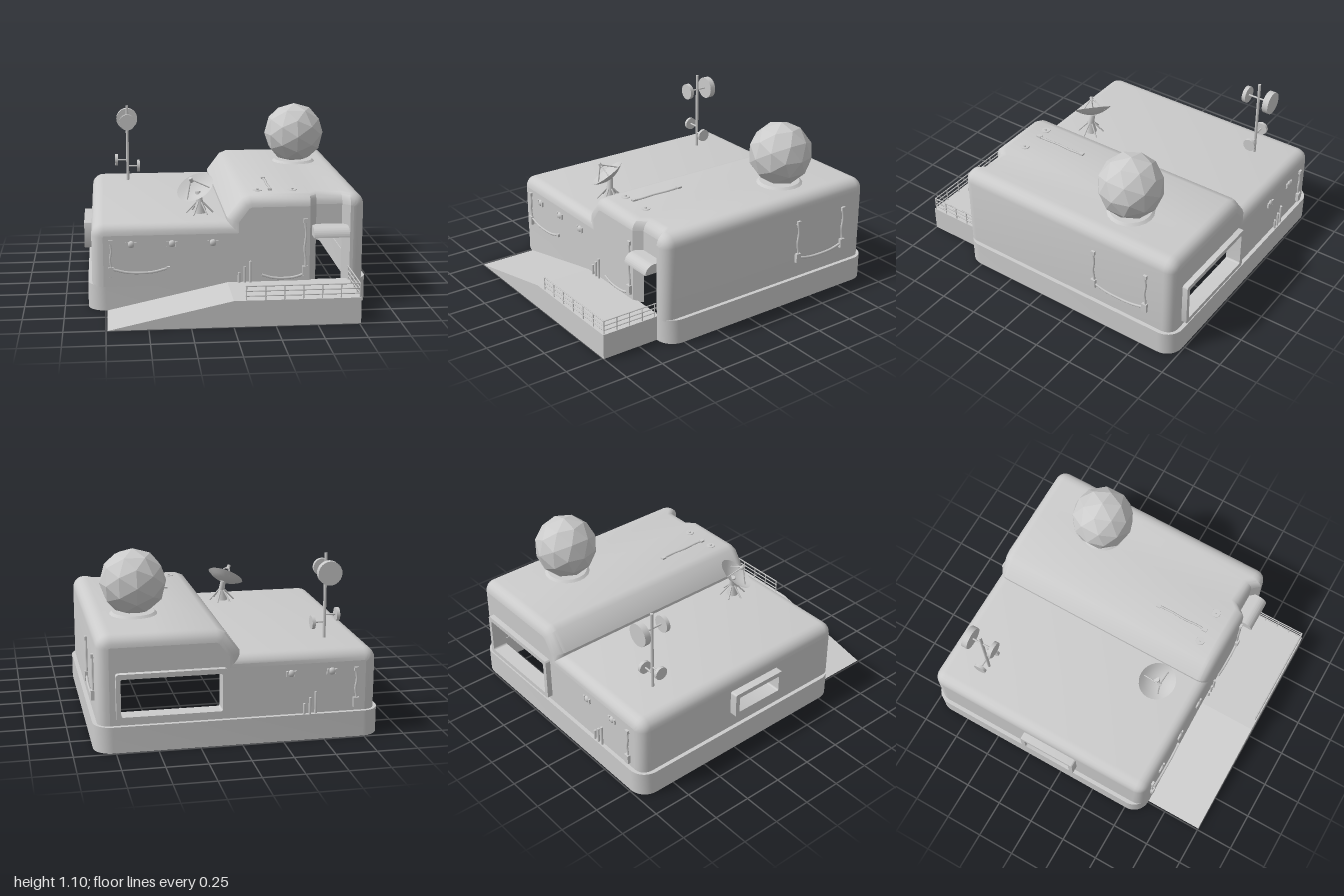
import * as THREE from 'three';
import { toCreasedNormals } from 'three/addons/utils/BufferGeometryUtils.js';

const grey = new THREE.MeshStandardMaterial({ color: 0xcccccc, side: THREE.DoubleSide });
const faceted = new THREE.MeshStandardMaterial({ color: 0xcccccc, flatShading: true });
const V = (x, y, z) => new THREE.Vector3(x, y, z);
const UP = V(0, 1, 0);

function add(parent, name, geo, x = 0, y = 0, z = 0, mat = grey) {
  const m = new THREE.Mesh(geo, mat);
  m.name = name;
  m.position.set(x, y, z);
  parent.add(m);
  return m;
}
function group(parent, name) {
  const g = new THREE.Group();
  g.name = name;
  parent.add(g);
  return g;
}
const box = (p, name, w, h, d, x, y, z) => add(p, name, new THREE.BoxGeometry(w, h, d), x, y, z);
// Round bar between two points
function rod(p, name, a, b, r, r2 = r, sides = 8) {
  const d = b.clone().sub(a);
  const m = add(p, name, new THREE.CylinderGeometry(r2, r, d.length(), sides));
  m.position.copy(a).addScaledVector(d, 0.5);
  m.quaternion.setFromUnitVectors(UP, d.normalize());
  return m;
}
const tube = (p, name, pts, r = 0.007) =>
  add(p, name, new THREE.TubeGeometry(new THREE.CatmullRomCurve3(pts), 24, r, 6));
// Flat panel from corners in order
function panel(p, name, ...c) {
  const g = new THREE.BufferGeometry().setFromPoints(c);
  g.setIndex(c.length === 4 ? [0, 1, 2, 0, 2, 3] : [0, 1, 2]);
  g.computeVertexNormals();
  return add(p, name, g);
}
function roundRect(x0, y0, x1, y1, r, Type = THREE.Shape) {
  const s = new Type();
  s.absarc(x1 - r, y1 - r, r, 0, Math.PI / 2);
  s.absarc(x0 + r, y1 - r, r, Math.PI / 2, Math.PI);
  s.absarc(x0 + r, y0 + r, r, Math.PI, Math.PI * 1.5);
  s.absarc(x1 - r, y0 + r, r, Math.PI * 1.5, Math.PI * 2);
  s.closePath();
  return s;
}
function ringGeo(outer, hole, depth) {
  outer.holes.push(hole);
  return toCreasedNormals(
    new THREE.ExtrudeGeometry(outer, { depth, bevelEnabled: false, curveSegments: 6 }), 0.6);
}

// Building shell dimensions
const R = 0.07, ZF = 0.62, ZB = -0.965, FLOOR = 0.15, RECESS = 0.05;
const DOOR = [0.51, 0.555, 0.716, 0.76];

// Stepped roof profile, inset by d
function profile(d) {
  const P = [[-0.83, FLOOR]], rc = R + 0.005;
  const corner = (cx, cy, from) => {
    for (let i = 0; i <= 5; i++) {
      const a = from - (i / 5) * Math.PI / 2;
      P.push([cx + rc * Math.cos(a), cy + rc * Math.sin(a)]);
    }
  };
  corner(-0.83 + rc, 0.54 - rc, Math.PI);
  P.push([0, 0.54], [0, 0.56], [0.09, 0.68], [0.14, 0.7]);
  DOOR.forEach(x => P.push([x, 0.7]));
  corner(0.85 - rc, 0.7 - rc, Math.PI / 2);
  P.push([0.85, FLOOR]);
  const normal = i => {
    const a = P[i], b = P[i + 1], l = Math.hypot(b[0] - a[0], b[1] - a[1]);
    return [-(b[1] - a[1]) / l, (b[0] - a[0]) / l];
  };
  return P.map((p, i) => {
    const m = normal(Math.max(i - 1, 0)), n = normal(Math.min(i, P.length - 2));
    const k = d / (1 + m[0] * n[0] + m[1] * n[1]);
    return new THREE.Vector2(p[0] - (m[0] + n[0]) * k, p[1] - (m[1] + n[1]) * k);
  });
}

function buildShell(root) {
  const g = group(root, 'building');
  // Roof and side walls: profile swept front to back with rounded ends
  const rings = [], N = 5;
  for (let i = N; i >= 0; i--) rings.push([ZB + R, -1, i]);
  for (let i = 0; i <= N; i++) rings.push([ZF - R, 1, i]);
  const pos = [], idx = [];
  let n = 0;
  rings.forEach(([z, s, i], k) => {
    const a = (i / N) * Math.PI / 2;
    const pts = profile(R * (1 - Math.cos(a)));
    n = pts.length;
    pts.forEach((p, j) => {
      const inDoor = s > 0 && p.x > 0.52 && p.x < 0.75 && p.y > 0.6;
      pos.push(p.x, p.y, z + s * R * Math.sin(a) - (inDoor ? RECESS : 0));
      if (!k || !j) return;
      if (k === N + 1 && j === 1) return; // left wall has its own panel
      const c = k * n + j, b = c - n;
      idx.push(b - 1, c - 1, c, b - 1, c, b);
    });
  });
  const geo = new THREE.BufferGeometry();
  geo.setAttribute('position', new THREE.Float32BufferAttribute(pos, 3));
  geo.setIndex(idx);
  add(g, 'roofAndSides', toCreasedNormals(geo, 0.6));

  // Left-hand wall with window opening
  const side = new THREE.Shape([[ZB + R, FLOOR], [ZF - R, FLOOR], [ZF - R, 0.465], [ZB + R, 0.465]]
    .map(p => new THREE.Vector2(...p)));
  side.holes.push(roundRect(-0.25, 0.285, 0.1, 0.415, 0.01, THREE.Path));
  add(g, 'sideWall', new THREE.ShapeGeometry(side).rotateY(-Math.PI / 2), -0.83);

  // Back wall with large window opening
  const cap = profile(R);
  const back = new THREE.Shape(cap);
  back.holes.push(roundRect(0.11, 0.21, 0.725, 0.46, 0.01, THREE.Path));
  add(g, 'backWall', new THREE.ShapeGeometry(back), 0, 0, ZB);

  // Front wall on both sides of a recessed doorway
  const left = cap.filter(p => p.x < DOOR[0] + 0.001).concat(new THREE.Vector2(DOOR[0], FLOOR));
  const right = cap.filter(p => p.x > DOOR[3] - 0.001).concat(new THREE.Vector2(DOOR[3], FLOOR));
  [left, right].forEach(p => add(g, 'frontWall', new THREE.ShapeGeometry(new THREE.Shape(p)), 0, 0, ZF));
  const top = 0.7 - R, zi = ZF - RECESS;
  [[0, 1], [3, 2]].forEach(([a, b]) => panel(g, 'doorJamb',
    V(DOOR[a], FLOOR, ZF), V(DOOR[b], FLOOR, zi), V(DOOR[b], top, zi), V(DOOR[a], top, ZF)));
  panel(g, 'doorHeader', V(DOOR[1], 0.43, zi), V(DOOR[2], 0.43, zi), V(DOOR[2], top, zi), V(DOOR[1], top, zi));

  // Curved canopy over the door
  const c = new THREE.Shape();
  c.moveTo(0, 0);
  c.lineTo(0.12, 0);
  c.absellipse(0.06, 0, 0.06, 0.06, 0, Math.PI / 2);
  c.lineTo(0, 0.06);
  add(g, 'doorCanopy', toCreasedNormals(new THREE.ExtrudeGeometry(c,
    { depth: 0.22, bevelEnabled: false }), 0.6).rotateY(-Math.PI / 2), 0.745, 0.445, 0.57);

  // Window frames
  add(g, 'backWindowFrame', ringGeo(roundRect(0.09, 0.19, 0.745, 0.48, 0.015),
    roundRect(0.12, 0.22, 0.718, 0.45, 0.01, THREE.Path), 0.1), 0, 0, -1);
  add(g, 'sideWindowFrame', ringGeo(roundRect(-0.27, 0.265, 0.12, 0.435, 0.012),
    roundRect(-0.24, 0.295, 0.09, 0.405, 0.01, THREE.Path), 0.13).rotateY(-Math.PI / 2), -0.75);

  // Foundation band
  add(g, 'foundation', ringGeo(roundRect(-0.855, -0.62, 0.875, 0.99, 0.11),
    roundRect(-0.825, -0.6, 0.845, 0.96, 0.08, THREE.Path), 0.16).rotateX(-Math.PI / 2));
}

function buildDeck(root) {
  const g = group(root, 'entranceDeck');
  const x0 = -0.74, x1 = 0.76, z0 = 0.6, z1 = 1, h = 0.16;
  panel(g, 'deckTop', V(0, h, z0), V(0, h, z1), V(x1, h, z1), V(x1, h, z0));
  panel(g, 'ramp', V(x0, 0, z0), V(x0, 0, z1), V(0, h, z1), V(0, h, z0));
  panel(g, 'deckFront', V(0, 0, z1), V(x1, 0, z1), V(x1, h, z1), V(0, h, z1));
  panel(g, 'rampFront', V(x0, 0, z1), V(0, 0, z1), V(0, h, z1));
  panel(g, 'deckEnd', V(x1, 0, z1), V(x1, 0, z0), V(x1, h, z0), V(x1, h, z1));
  // Railing along front and end
  const xr = 0.752, zr = 0.99;
  for (let i = 0; i < 7; i++) {
    const x = 0.075 + i * (xr - 0.075) / 6;
    rod(g, 'railPost', V(x, h, zr), V(x, 0.245, zr), 0.004, 0.004, 6);
  }
  for (let i = 0; i < 4; i++) rod(g, 'railPost', V(xr, h, 0.63 + i * 0.09), V(xr, 0.245, 0.63 + i * 0.09), 0.004, 0.004, 6);
  for (const y of [0.185, 0.215, 0.245]) {
    rod(g, 'rail', V(0.07, y, zr), V(xr, y, zr), 0.004, 0.004, 6);
    rod(g, 'rail', V(xr, y, zr), V(xr, y, 0.62), 0.004, 0.004, 6);
  }
}

function buildRoofGear(root) {
  // Faceted dome
  const dome = group(root, 'radarDome');
  add(dome, 'domeShell', new THREE.IcosahedronGeometry(0.205, 1), 0.57, 0.898, -0.475, faceted);
  add(dome, 'domeBase', new THREE.CylinderGeometry(0.13, 0.15, 0.016, 20), 0.57, 0.706, -0.475);

  // Mast with four drum antennas
  const mast = group(root, 'antennaMast'), mx = -0.58, mz = -0.68;
  rod(mast, 'mastPole', V(mx, 0.53, mz), V(mx, 1.07, mz), 0.01);
  [[0, 0.965, -1, 0.065, 0.04, 0.074], [0, 0.965, 1, 0.07, 0.025, 0.055],
    [-1, 0.685, 0, 0.068, 0.02, 0.042], [1, 0.64, 0, 0.065, 0.02, 0.042]].forEach(([dx, y, dz, s, t, r]) => {
    const at = k => V(mx + dx * k, y, mz + dz * k);
    rod(mast, 'drumArm', at(0), at(s), 0.006);
    rod(mast, 'drumAntenna', at(s), at(s + t), r, r, 24);
  });

  // Satellite dish on a splayed stand
  const dish = group(root, 'satelliteDish'), cx = -0.15, cz = 0.35;
  for (let i = 0; i < 6; i++) {
    const a = i * Math.PI / 3, c = Math.cos(a), s = Math.sin(a);
    rod(dish, 'standLeg', V(cx + c * 0.085, 0.54, cz + s * 0.085), V(cx + c * 0.02, 0.61, cz + s * 0.02), 0.005);
  }
  rod(dish, 'standColumn', V(cx, 0.54, cz), V(cx, 0.62, cz), 0.04, 0.02);
  rod(dish, 'standNeck', V(cx, 0.61, cz), V(-0.16, 0.675, 0.34), 0.022, 0.018);
  const bowl = group(dish, 'bowl');
  bowl.position.set(-0.16, 0.67, 0.335);
  bowl.quaternion.setFromUnitVectors(UP, V(-0.4, 0.78, 0.42).normalize());
  const curve = [0, 0.03, 0.06, 0.09, 0.122].map(r => new THREE.Vector2(r, r * r * 3));
  add(bowl, 'reflector', new THREE.LatheGeometry(curve, 28));
  for (let i = 0; i < 3; i++) {
    const a = i * Math.PI * 2 / 3 + 0.4;
    rod(bowl, 'feedStrut', V(Math.cos(a) * 0.09, 0.024, Math.sin(a) * 0.09), V(0, 0.115, 0), 0.004);
  }
  rod(bowl, 'feedHorn', V(0, 0.095, 0), V(0, 0.125, 0), 0.012);

  // Roof vents and cable run
  for (const x of [0.2, 0.42]) {
    add(root, 'roofVent', new THREE.CylinderGeometry(0.028, 0.03, 0.006, 16), x, 0.701, 0.46);
    add(root, 'ventCap', new THREE.CylinderGeometry(0.008, 0.008, 0.016, 8), x, 0.704, 0.46);
  }
  tube(root, 'roofCable', [0.1, 0.2, 0.3, 0.4, 0.47].map((z, i) => V(0.28 + (i % 2) * 0.005, 0.703, z)));
  for (const z of [0.11, 0.45]) box(root, 'roofCableClip', 0.025, 0.014, 0.03, 0.28, 0.704, z);
}

function buildWallGear(root) {
  // Wall-mounted cable drop, drawn on a plane facing +z
  const drop = (p, x, y0, y1) => {
    tube(p, 'cableDrop', [0, 1, 2, 3, 4].map(i => V(x + (i % 2 ? 0.004 : -0.004), y0 + (y1 - y0) * i / 4, 0.006)));
    box(p, 'junctionBox', 0.035, 0.06, 0.025, x, y0 + 0.035, 0.008);
    box(p, 'cableClip', 0.026, 0.025, 0.018, x, y1, 0.006);
  };
  const swag = (p, x0, x1, y, sag) => tube(p, 'hangingCable',
    [V(x0, y, 0.008), V(x0 * 0.75 + x1 * 0.25, y - sag * 0.8, 0.01), V((x0 + x1) / 2, y - sag, 0.01),
      V(x0 * 0.25 + x1 * 0.75, y - sag * 0.8, 0.01), V(x1, y, 0.008)], 0.008);
  const lamp = (p, x) => {
    const m = add(p, 'wallLamp', new THREE.SphereGeometry(0.022, 12, 8), x, 0.415, 0.002);
    m.scale.z = 0.7;
    for (const s of [-1, 1]) box(p, 'lampBracket', 0.014, 0.034, 0.014, x + s * 0.026, 0.413, 0.004);
  };
  const pipes = (p, xs, y0) => xs.forEach((x, i) =>
    rod(p, 'wallPipe', V(x, y0, 0.012), V(x, 0.225 + i * 0.035, 0.012), 0.008));

  const front = group(root, 'frontFittings');
  front.position.z = ZF;
  drop(front, -0.715, 0.21, 0.435);
  swag(front, -0.7, -0.37, 0.262, 0.025);
  box(front, 'cableClip', 0.02, 0.02, 0.018, -0.365, 0.262, 0.006);
  drop(front, 0.48, 0.19, 0.54);
  swag(front, 0.21, 0.48, 0.205, 0.025);
  [-0.59, -0.34, -0.09].forEach(x => lamp(front, x));
  pipes(front, [0.07, 0.105, 0.14], 0.15);

  const back = group(root, 'backFittings');
  back.position.z = ZB;
  back.rotation.y = Math.PI;
  drop(back, 0.7, 0.18, 0.42);
  [0.3, 0.55].forEach(x => lamp(back, x));
  pipes(back, [0.38, 0.415, 0.45], 0.15);

  const side = group(root, 'sideFittings');
  side.position.x = 0.85;
  side.rotation.y = Math.PI / 2;
  drop(side, 0.4, 0.26, 0.535);
  drop(side, 0.775, 0.26, 0.535);
  swag(side, 0.4, 0.775, 0.295, 0.025);
}

export function createModel() {
  const root = new THREE.Group();
  root.name = 'outpostBuilding';
  buildShell(root);
  buildDeck(root);
  buildRoofGear(root);
  buildWallGear(root);
  return root;
}
